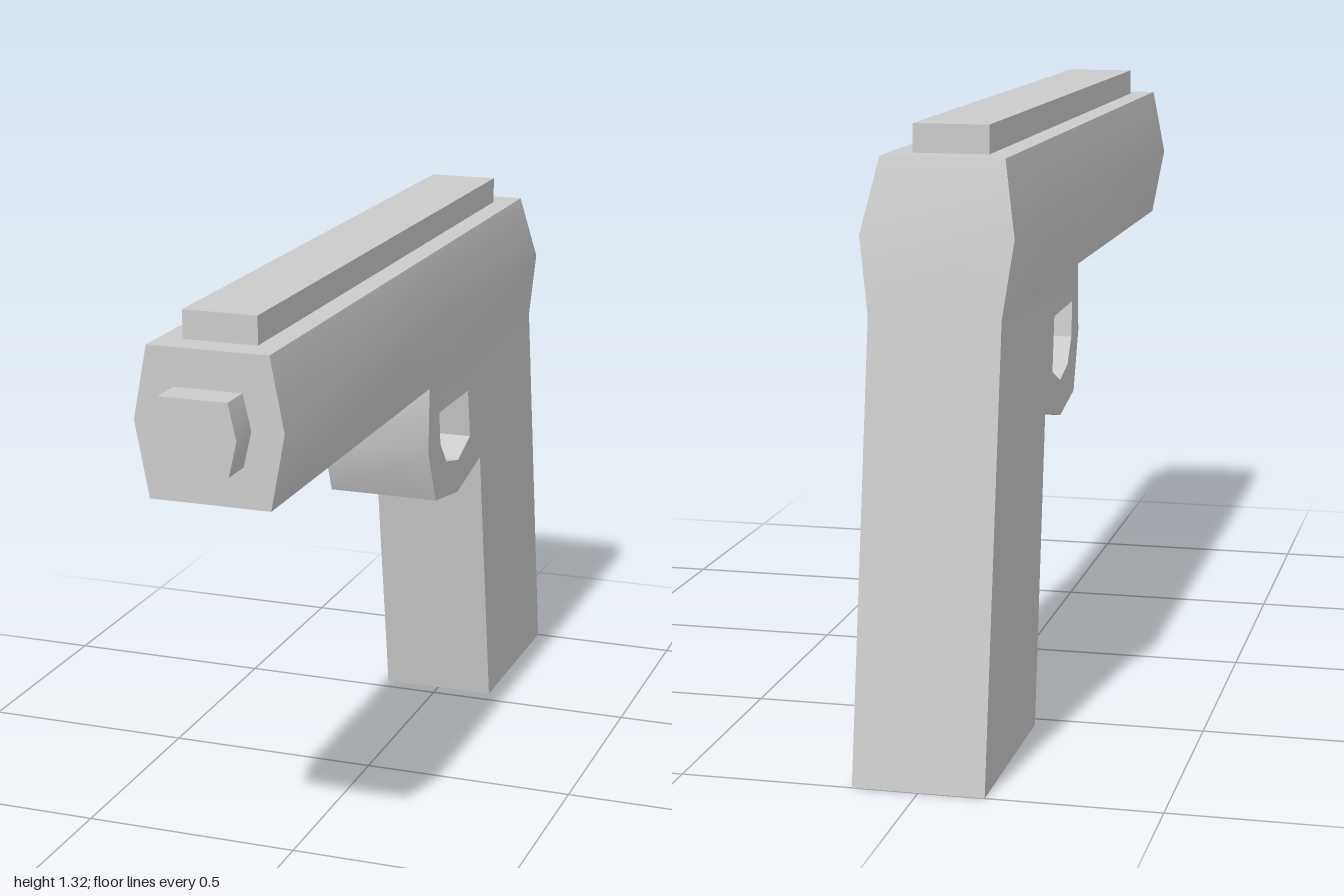
import * as THREE from 'three';
import { mergeGeometries, toCreasedNormals } from 'three/addons/utils/BufferGeometryUtils.js';

const material = new THREE.MeshStandardMaterial({ color: 0xcccccc });

// Half width of the frame: slightly wider towards the grip.
const halfWidth = z => 0.13 + 0.008 * THREE.MathUtils.clamp((-0.055 - z) / 0.445, 0, 1);

// Moves every vertex by a rule that maps (x, y, z) to a new position.
function reshape(geometry, rule) {
  const p = geometry.attributes.position;
  for (let i = 0; i < p.count; i++) p.setXYZ(i, ...rule(p.getX(i), p.getY(i), p.getZ(i)));
  geometry.computeVertexNormals();
  return geometry;
}

function addMesh(group, name, geometry) {
  const mesh = new THREE.Mesh(toCreasedNormals(geometry, 0.45), material);
  mesh.name = name;
  group.add(mesh);
  return mesh;
}

// Six-sided slide with a slanted rear; rows are bottom, middle and top.
function slideGeometry() {
  const height = [0.94, 1.1, 1.255];
  const rear = [-0.845, -0.825, -0.775];
  return reshape(new THREE.BoxGeometry(2, 2, 3, 1, 2, 3), (x, y, z) => {
    const row = Math.round(y) + 1;
    const stations = [rear[row], -0.5, -0.055, 0.925];
    const newZ = stations[Math.round(z + 1.5)];
    const half = [halfWidth(newZ), 0.16, 0.13][row];
    return [x * half, height[row], newZ];
  }).toNonIndexed();
}

// Grip and trigger guard, outlined in the side plane as (z, y).
function frameGeometry() {
  const points = list => list.map(([z, y]) => new THREE.Vector2(z, y));
  const outline = new THREE.Shape(points([
    [-0.055, 0.94], [-0.845, 0.94], [-1, 0], [-0.54, 0], [-0.435, 0.67],
    [-0.265, 0.63], [-0.105, 0.655], [-0.05, 0.785],
  ]));
  outline.holes.push(new THREE.Path(points([
    [-0.125, 0.865], [-0.135, 0.785], [-0.18, 0.73],
    [-0.265, 0.71], [-0.355, 0.745], [-0.335, 0.865],
  ])));
  const geometry = new THREE.ExtrudeGeometry(outline, { depth: 2, bevelEnabled: false });
  geometry.translate(0, 0, -1).rotateY(-Math.PI / 2);
  return reshape(geometry, (x, y, z) => [x * halfWidth(z), y, z]);
}

export function createModel() {
  const group = new THREE.Group();
  group.name = 'pistol';

  // Slide and frame share smooth sides.
  addMesh(group, 'slideAndFrame', mergeGeometries([slideGeometry(), frameGeometry()]));

  // Flat rail on top
  const rail = new THREE.BoxGeometry(0.16, 0.07, 1.565);
  addMesh(group, 'topRail', rail).position.set(0, 1.28, 0.0775);

  // Six-sided muzzle, slightly sunk into the slide
  const muzzle = reshape(new THREE.BoxGeometry(2, 0.15, 0.085, 1, 2, 1),
    (x, y, z) => [x * (Math.abs(y) < 0.01 ? 0.09 : 0.073), y, z]);
  addMesh(group, 'muzzle', muzzle).position.set(0, 1.1, 0.9575);

  return group;
}
